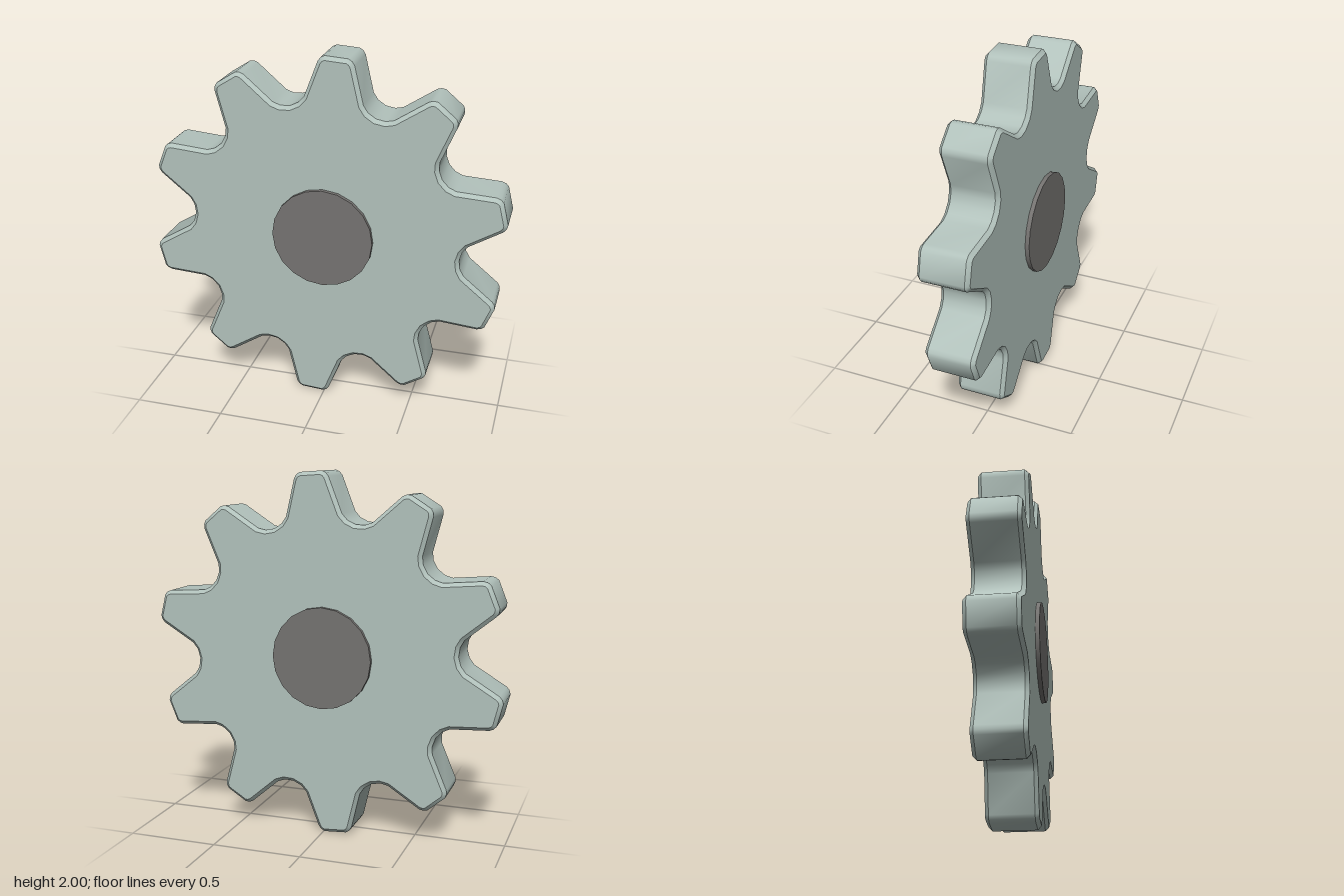
import * as THREE from 'three';
import { toCreasedNormals } from 'three/addons/utils/BufferGeometryUtils.js';

const TEETH = 10;
const FIRST_TOOTH = 86; // degrees, direction of the uppermost tooth
const HALF_THICK = 0.137;
const BEVEL = 0.02;

// Half a tooth, from tip to valley: [radius, degrees off the tooth axis]
const HALF_TOOTH = [
  [1.0, 3.6], [0.99, 4.8], [0.972, 5.7], [0.785, 11.6], [0.757, 14.2],
];
const VALLEY = [0.745, 18];

function gearShape() {
  const mirrored = HALF_TOOTH.map(([r, a]) => [r, -a]).reverse();
  const tooth = [...mirrored, ...HALF_TOOTH, VALLEY];
  const points = [];
  for (let i = 0; i < TEETH; i++) {
    for (const [r, a] of tooth) {
      const angle = THREE.MathUtils.degToRad(FIRST_TOOTH + (i * 360) / TEETH + a);
      points.push(new THREE.Vector2(r * Math.cos(angle), r * Math.sin(angle)));
    }
  }
  return new THREE.Shape(points);
}

export function createModel() {
  const gearMetal = new THREE.MeshStandardMaterial({ color: 0xb2c2bc });
  gearMetal.name = 'pale grey-green metal';
  const hubMetal = new THREE.MeshStandardMaterial({ color: 0x757371 });
  hubMetal.name = 'dark grey metal';

  const group = new THREE.Group();
  group.name = 'gear';

  // Toothed wheel with softened rims
  const wheelGeometry = new THREE.ExtrudeGeometry(gearShape(), {
    depth: 2 * (HALF_THICK - BEVEL),
    bevelEnabled: true,
    bevelThickness: BEVEL,
    bevelSize: BEVEL,
    bevelOffset: -BEVEL,
    bevelSegments: 1,
  });
  wheelGeometry.translate(0, 0, BEVEL - HALF_THICK);
  const wheel = new THREE.Mesh(toCreasedNormals(wheelGeometry, 0.7), gearMetal);
  wheel.name = 'toothedWheel';
  wheel.position.y = 1;
  group.add(wheel);

  // Axle hub standing slightly proud of both faces
  const hubGeometry = new THREE.CylinderGeometry(0.28, 0.28, 0.32, 20);
  hubGeometry.rotateX(Math.PI / 2);
  const hub = new THREE.Mesh(hubGeometry, hubMetal);
  hub.name = 'hub';
  hub.position.y = 1;
  group.add(hub);

  return group;
}
